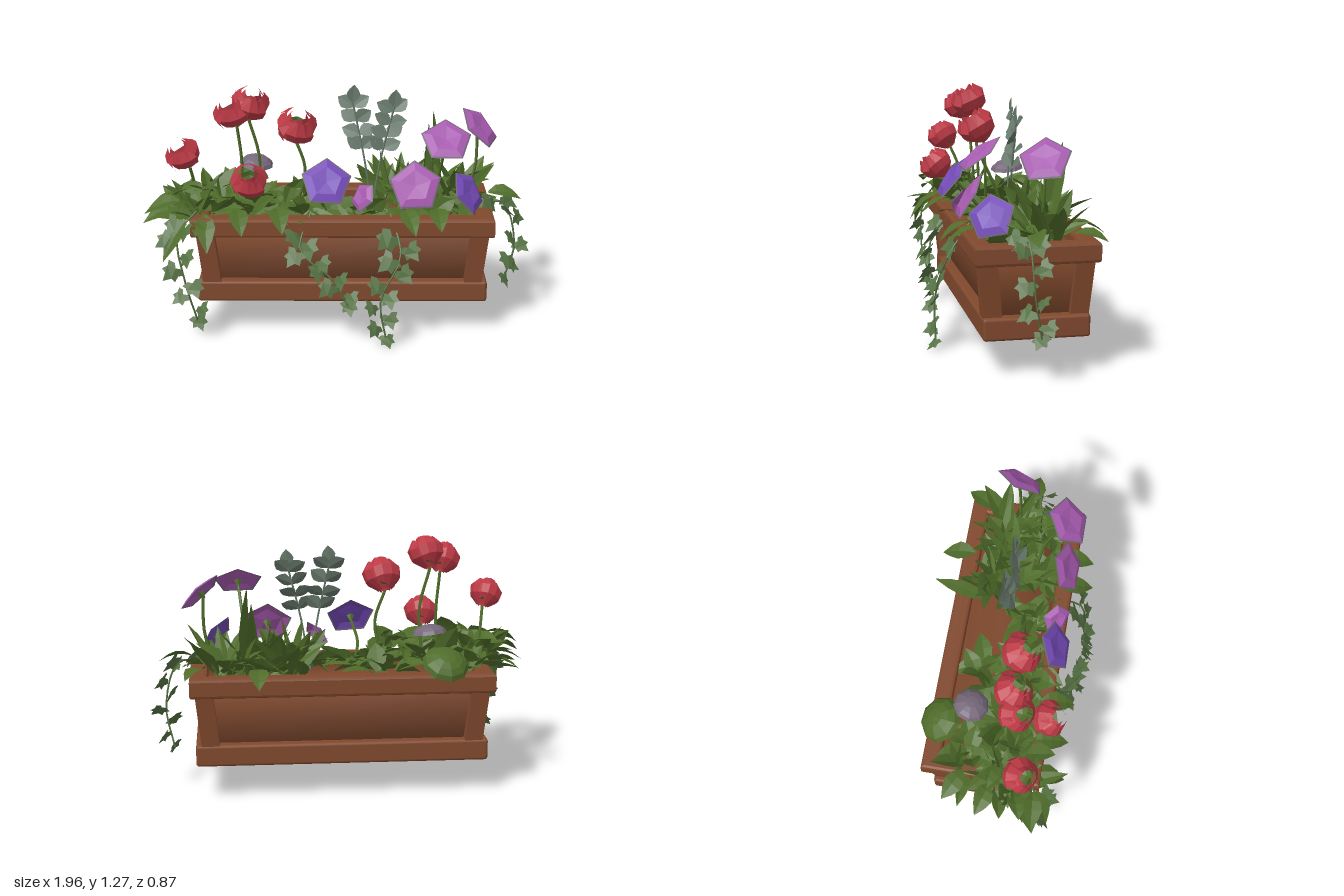
import * as THREE from 'three';
import { mergeGeometries, mergeVertices } from 'three/addons/utils/BufferGeometryUtils.js';
import { RoundedBoxGeometry } from 'three/addons/geometries/RoundedBoxGeometry.js';

const paint = (name, color, extra = {}) => {
  const m = new THREE.MeshStandardMaterial({ color, ...extra });
  m.name = name;
  return m;
};
const thin = { side: THREE.DoubleSide, flatShading: true };
const V = (x, y, z) => new THREE.Vector3(x, y, z);
const UP = V(0, 1, 0);
const CX = 0.03, CZ = -0.035; // trough centre

let seed = 11;
const rnd = (a = 0, b = 1) => {
  seed = (seed * 16807) % 2147483647;
  return a + (b - a) * (seed / 2147483647);
};

// Strips a geometry to plain positions and normals so any kinds can be merged
function plain(g) {
  const out = g.index ? g.toNonIndexed() : g;
  out.deleteAttribute('uv');
  out.computeVertexNormals();
  return out;
}

// Turns a geometry's y axis to dir and moves it to pos
function aim(g, pos, dir) {
  const q = new THREE.Quaternion().setFromUnitVectors(UP, dir.clone().normalize());
  return plain(g.applyQuaternion(q).translate(pos.x, pos.y, pos.z));
}

// Folded leaf along dir, upper side turned to face, drooping towards its tip
function leaf(base, dir, len, width, droop = 0.05, fold = 0.3, face = UP) {
  const d = dir.clone().normalize();
  const side = face.clone().cross(d);
  if (side.length() < 0.05) side.set(1, 0, 0.2);
  side.normalize();
  const lift = d.clone().cross(side);
  const widths = [0.15, 0.8, 1, 0.65, 0.02];
  const pos = [], idx = [];
  widths.forEach((w, i) => {
    const t = i / 4;
    const c = base.clone().addScaledVector(d, len * t);
    c.y -= droop * t * t;
    for (const s of [-1, 0, 1]) {
      const p = c.clone().addScaledVector(side, s * w * width).addScaledVector(lift, Math.abs(s) * w * width * fold);
      pos.push(p.x, p.y, p.z);
    }
    if (i < 4) for (const k of [0, 1]) {
      const a = i * 3 + k;
      idx.push(a, a + 3, a + 1, a + 1, a + 3, a + 4);
    }
  });
  const g = new THREE.BufferGeometry();
  g.setAttribute('position', new THREE.Float32BufferAttribute(pos, 3));
  g.setIndex(idx);
  return plain(g);
}

const stem = (pts, r = 0.008) =>
  plain(new THREE.TubeGeometry(new THREE.CatmullRomCurve3(pts), 10, r, 5));

// Lobed ivy leaf hanging from its stalk and facing outwards
function ivyLeaf(p, yaw, roll, size) {
  const half = [[0.35, 0.25], [0.85, 0.1], [0.6, -0.3], [0.75, -0.75], [0.35, -0.8]];
  const pts = [[0, 0], ...half, [0, -1.4], ...half.map(([x, y]) => [-x, y]).reverse()];
  const g = new THREE.ShapeGeometry(new THREE.Shape(pts.map(([x, y]) => new THREE.Vector2(x * size, y * size))));
  const a = g.attributes.position;
  for (let i = 0; i < a.count; i++) a.setZ(i, -Math.abs(a.getX(i)) * 0.2);
  g.rotateX(rnd(-0.85, -0.45)).rotateZ(roll).rotateY(yaw).translate(p.x, p.y, p.z);
  return plain(g);
}

// Ring of cupped petals closing towards the top of the y axis
function petals(count, r, h, turn) {
  const profile = [0.35, 0.95, 1.05, 0.62];
  return Array.from({ length: count }, (_, k) => {
    const g = new THREE.PlaneGeometry(2, 3, 4, 3);
    const a = g.attributes.position;
    for (let i = 0; i < a.count; i++) {
      const u = a.getX(i), v = Math.round(a.getY(i) + 1.5);
      const ang = turn + (k / count) * Math.PI * 2 + u * (3.9 / count);
      const rad = r * profile[v] * (1 + 0.08 * u);
      a.setXYZ(i, Math.sin(ang) * rad, h * (v / 3) * (1 - 0.14 * u * u) - h / 2, Math.cos(ang) * rad);
    }
    return g;
  });
}

export function createModel() {
  const root = new THREE.Group();
  root.name = 'flowerTrough';
  const terracotta = paint('terracotta', 0x80492d);
  const green = paint('leaf green', 0x4f6c2a, thin);
  const ivyGreen = paint('ivy green', 0x567244, thin);
  const grey = paint('grey green', 0x67786a, thin);
  const red = paint('rose red', 0xbc3945, { flatShading: true });
  const pink = paint('orchid', 0xa75bb0, thin);
  const violet = paint('violet', 0x744bb8, thin);
  const faded = paint('faded edge', 0x75687a, thin);
  const add = (name, geo, mat) => {
    const m = new THREE.Mesh(Array.isArray(geo) ? mergeGeometries(geo) : geo, mat);
    m.name = name;
    root.add(m);
    return m;
  };

  // Trough: base slab, softly shaded body filled with soil, corner posts, rim
  add('baseSlab', new RoundedBoxGeometry(1.47, 0.11, 0.515, 2, 0.015), terracotta).position.set(CX, 0.265, CZ);
  let body = new THREE.BoxGeometry(1.4, 0.33, 0.47);
  const bp = body.attributes.position;
  for (let i = 0; i < bp.count; i++) if (bp.getY(i) < 0)
    bp.setXYZ(i, bp.getX(i) * 0.96, bp.getY(i), bp.getZ(i) * 0.86);
  body.deleteAttribute('uv');
  body.deleteAttribute('normal');
  body = mergeVertices(body);
  body.computeVertexNormals();
  add('body', body, terracotta).position.set(CX, 0.455, CZ);
  for (const sx of [-1, 1]) for (const sz of [-1, 1]) {
    const post = new THREE.BoxGeometry(0.09, 0.28, 0.09);
    const p = post.attributes.position;
    for (let i = 0; i < p.count; i++) {
      const t = p.getY(i) / 0.28;
      p.setX(i, p.getX(i) + sx * 0.03 * t);
      p.setZ(i, p.getZ(i) + sz * 0.025 * t);
    }
    post.computeVertexNormals();
    add('cornerPost', post, terracotta).position.set(CX + sx * 0.675, 0.445, CZ + sz * 0.22);
  }
  const rect = (C, w, d) => new C([[-w, -d], [w, -d], [w, d], [-w, d]].map(([x, y]) => new THREE.Vector2(x, y)));
  const rimShape = rect(THREE.Shape, 0.745, 0.285);
  rimShape.holes.push(rect(THREE.Path, 0.685, 0.225));
  const rim = new THREE.ExtrudeGeometry(rimShape, { depth: 0.07, bevelThickness: 0.015, bevelSize: 0.015, bevelSegments: 2 });
  add('rim', rim.rotateX(-Math.PI / 2), terracotta).position.set(CX, 0.585, CZ);

  // Broad leaves in clumps: centre x, y, z, count, longest leaf
  const broad = [];
  for (const [x, y, z, n, len] of [[-0.7, 0.64, 0.1, 38, 0.28], [-0.62, 0.74, 0.12, 14, 0.21], [-0.42, 0.64, 0.08, 36, 0.28],
    [-0.28, 0.72, 0.1, 12, 0.2], [-0.62, 0.64, -0.12, 20, 0.24], [-0.12, 0.64, 0.1, 26, 0.24], [-0.2, 0.64, -0.1, 16, 0.22],
    [0.15, 0.64, 0.06, 20, 0.21], [0.42, 0.64, 0.08, 16, 0.22], [0.65, 0.64, 0.04, 20, 0.21]])
    for (let i = 0; i < n; i++) {
      const a = (i / n) * Math.PI * 6 + rnd(0, 0.5);
      const e = rnd(0.12, 1.1);
      const dir = V(Math.cos(a) * Math.cos(e), Math.sin(e), Math.sin(a) * Math.cos(e) * 0.85);
      const base = V(x + rnd(-0.07, 0.07), y, z + rnd(-0.06, 0.06));
      const face = V(rnd(-0.6, 0.6), 0.8, rnd(-0.3, 0.8));
      broad.push(leaf(base, dir, rnd(0.6, 1) * len, rnd(0.036, 0.058), rnd(0.02, 0.09), 0.25, face));
    }
  // Outlying leaves that hang over the edges
  for (const [x, y, z, dx, dy, dz] of [[-0.78, 0.76, 0.24, -1, 0.1, 0.1], [-0.8, 0.7, 0.2, -1, 0.2, 0.4],
    [-0.78, 0.72, 0.14, -0.8, 0.5, 0.3], [-0.76, 0.7, 0.02, -1, 0.3, -0.3], [-0.72, 0.7, -0.12, -0.7, 0.2, -0.4],
    [-0.75, 0.66, 0.25, -0.6, -0.6, 0.4], [-0.66, 0.68, 0.22, 0.1, -0.3, 0.7], [-0.5, 0.7, 0.2, 0.2, 0, 1],
    [-0.3, 0.71, 0.2, 0.2, 0, 1], [0.45, 0.7, -0.27, 0, 0.1, -1], [0.72, 0.7, -0.22, 0.5, 0.3, -0.8],
    [0.78, 0.72, -0.02, 1, 0.3, 0.1], [0.34, 0.7, 0.2, 0.3, 0, 1], [0.5, 0.7, 0.18, 0.1, 0.1, 1]])
    broad.push(leaf(V(x, y, z), V(dx, dy, dz), 0.175, 0.05, 0.08, 0.25, V(0, 0.8, 0.3)));
  add('broadLeaves', broad, green);

  // Round cupped leaves at the back left, the upper one faded
  const dome = (x, y, z, r, n) =>
    aim(new THREE.SphereGeometry(r, 9, 4, 0, Math.PI * 2, 0, 1.45).scale(1, 0.6, 1), V(x, y, z), n);
  add('roundLeaf', dome(-0.48, 0.7, -0.27, 0.12, V(-0.1, 0.8, -0.5)), green);
  add('fadedRoundLeaf', dome(-0.42, 0.83, -0.13, 0.09, V(0.1, 0.9, 0.1)), faded);

  // Long upright blades on the right
  const blades = [];
  for (let i = 0; i < 60; i++) {
    const a = i * 2.4, e = rnd(0.5, 1.3);
    const dir = V(Math.cos(a) * Math.cos(e), Math.sin(e), Math.sin(a) * Math.cos(e));
    const base = V(0.45 + rnd(-0.22, 0.22), 0.63, -0.1 + rnd(-0.07, 0.07));
    blades.push(leaf(base, dir, rnd(0.22, 0.36), rnd(0.03, 0.048), 0.04, 0.3, V(rnd(-0.5, 0.8), 0.7, rnd(-0.4, 0.8))));
  }
  blades.push(leaf(V(0.5, 0.63, -0.12), V(0, 1, -0.2), 0.48, 0.05, 0, 0.4, V(1, 0, 0.6)));
  blades.push(leaf(V(0.44, 0.63, -0.1), V(0.1, 1, -0.35), 0.42, 0.05, 0, 0.4, V(0.9, 0, 0.6)));
  add('tallBlades', blades, green);

  const stems = [], collars = [];
  // Roses: position, radius, facing direction
  const roses = [];
  for (const [x, y, z, r, n] of [
    [-0.52, 1.18, 0.11, 0.085, V(-0.25, 0.8, 0.5)], [-0.43, 1.215, 0.08, 0.09, V(0.2, 0.8, 0.4)],
    [-0.76, 0.98, 0.17, 0.082, V(-0.3, 0.8, 0.5)], [-0.2, 1.1, 0.08, 0.095, V(0.15, 0.8, 0.5)],
    [-0.43, 0.87, 0.26, 0.085, V(0, 0.7, 0.6)]]) {
    n.normalize();
    const c = V(x, y, z);
    [[4, r, r * 1.75, 0], [3, r * 0.68, r * 1.9, 0.5]].forEach((s) =>
      petals(...s).forEach((g) => roses.push(aim(g, c, n))));
    // Green cup inside the petals and sepals below them
    const cup = new THREE.SphereGeometry(r * 0.8, 8, 3, 0, Math.PI * 2, Math.PI * 0.55, Math.PI * 0.45).scale(1, 0.75, 1);
    collars.push(aim(cup, c, n));
    const back = c.clone().addScaledVector(n, -r * 0.85);
    for (let k = 0; k < 5; k++) {
      const d = V(Math.cos(k * 1.257), 0.35, Math.sin(k * 1.257))
        .applyQuaternion(new THREE.Quaternion().setFromUnitVectors(UP, n));
      collars.push(leaf(back, d, r * 0.8, r * 0.3, 0));
    }
    const foot = V(x * 0.85 - 0.05, 0.62, z * 0.3);
    stems.push(stem([foot, V(x + 0.04, (y + 0.62) / 2, z * 0.5), back]));
  }
  add('roses', roses, red);

  // Five-sided open blooms with faded edges: position, radius, facing direction, colour
  const blooms = { orchid: [], violet: [] }, edges = [];
  for (const [x, y, z, r, n, c] of [
    [-0.05, 0.865, 0.25, 0.13, V(0.05, 0.58, 0.8), 'violet'], [0.67, 0.79, 0.17, 0.12, V(0.72, 0.5, 0.45), 'violet'],
    [0.12, 0.78, 0.22, 0.08, V(-0.65, 0.5, 0.5), 'orchid'], [0.39, 0.84, 0.24, 0.135, V(-0.05, 0.5, 0.85), 'orchid'],
    [0.54, 1.075, 0.21, 0.13, V(0.02, 0.78, 0.62), 'orchid'], [0.74, 1.065, -0.07, 0.13, V(0.66, 0.68, 0.32), 'orchid']]) {
    n.normalize();
    const p = V(x, y, z);
    const lathe = (pts) => aim(new THREE.LatheGeometry(pts.map(([a, b]) => new THREE.Vector2(a * r, b)), 5, Math.PI), p, n);
    blooms[c].push(lathe([[0, -0.008], [0.6, 0], [0.93, -0.014]]));
    edges.push(lathe([[0.93, -0.014], [1, -0.018]]));
    const back = p.clone().addScaledVector(n, -0.035);
    collars.push(aim(new THREE.ConeGeometry(0.022, 0.04, 5).rotateX(Math.PI), back, n));
    stems.push(stem([V(x * 0.85, 0.62, z * 0.4 - 0.03), V(x - 0.03, (y + 0.6) / 2, z * 0.6 - 0.03), back]));
  }
  add('orchidBlooms', blooms.orchid, pink);
  add('violetBlooms', blooms.violet, violet);
  add('bloomEdges', edges, faded);
  add('flowerStems', stems, green);
  add('flowerCollars', collars, green);

  // Grey sprigs with paired oval leaves turned to the front
  const sprigs = [];
  for (const [x, y, z] of [[0.08, 1.19, -0.05], [0.29, 1.17, -0.03]]) {
    const pts = [V(0.18, 0.63, -0.02), V(0.18 + (x - 0.18) * 0.4, 0.9, -0.02), V(x, y, z)];
    const curve = new THREE.CatmullRomCurve3(pts);
    sprigs.push(stem(pts, 0.005), leaf(pts[2], V(0.1, 1, 0), 0.09, 0.035, 0, 0.2, V(0, 0, 1)));
    for (let k = 0; k < 4; k++) for (const s of [-1, 1]) {
      const dir = V(s, rnd(0.4, 1.1), rnd(-0.5, 0.5));
      sprigs.push(leaf(curve.getPoint(0.6 + k * 0.12), dir, 0.1, 0.04, 0.01, 0.2, V(rnd(-0.5, 0.5), 0.7, 1)));
    }
  }
  add('greySprigs', sprigs, grey);

  // Trailing ivy: path points, outward yaw, leaf count
  const ivy = [];
  for (const [path, yaw, n] of [
    [[[-0.7, 0.69, 0.2], [-0.79, 0.6, 0.28], [-0.76, 0.35, 0.3], [-0.71, 0.11, 0.24]], -0.2, 9],
    [[[-0.13, 0.68, 0.2], [-0.18, 0.53, 0.32], [-0.03, 0.4, 0.36], [0.06, 0.24, 0.35]], 0, 9],
    [[[0.27, 0.68, 0.2], [0.32, 0.5, 0.33], [0.22, 0.28, 0.37], [0.25, 0.065, 0.37]], 0, 10],
    [[[0.72, 0.68, 0.03], [0.85, 0.68, 0.02], [0.92, 0.45, 0.01], [0.88, 0.24, -0.03]], 0.9, 9]]) {
    const pts = path.map((p) => V(...p));
    const curve = new THREE.CatmullRomCurve3(pts);
    ivy.push(stem(pts, 0.005));
    for (let k = 0; k < n; k++) {
      const s = k % 2 ? 1 : -1, t = k / (n - 1), p = curve.getPoint(0.2 + 0.8 * t);
      const off = k === n - 1 ? 0 : s * 0.035;
      p.add(V(off * Math.cos(yaw), 0.02, off * -Math.sin(yaw)));
      ivy.push(ivyLeaf(p, yaw + rnd(-0.6, 0.6), off * 17 + rnd(-0.3, 0.3), rnd(0.056, 0.07) * (1.1 - 0.25 * t)));
    }
  }
  add('trailingIvy', ivy, ivyGreen);
  return root;
}
